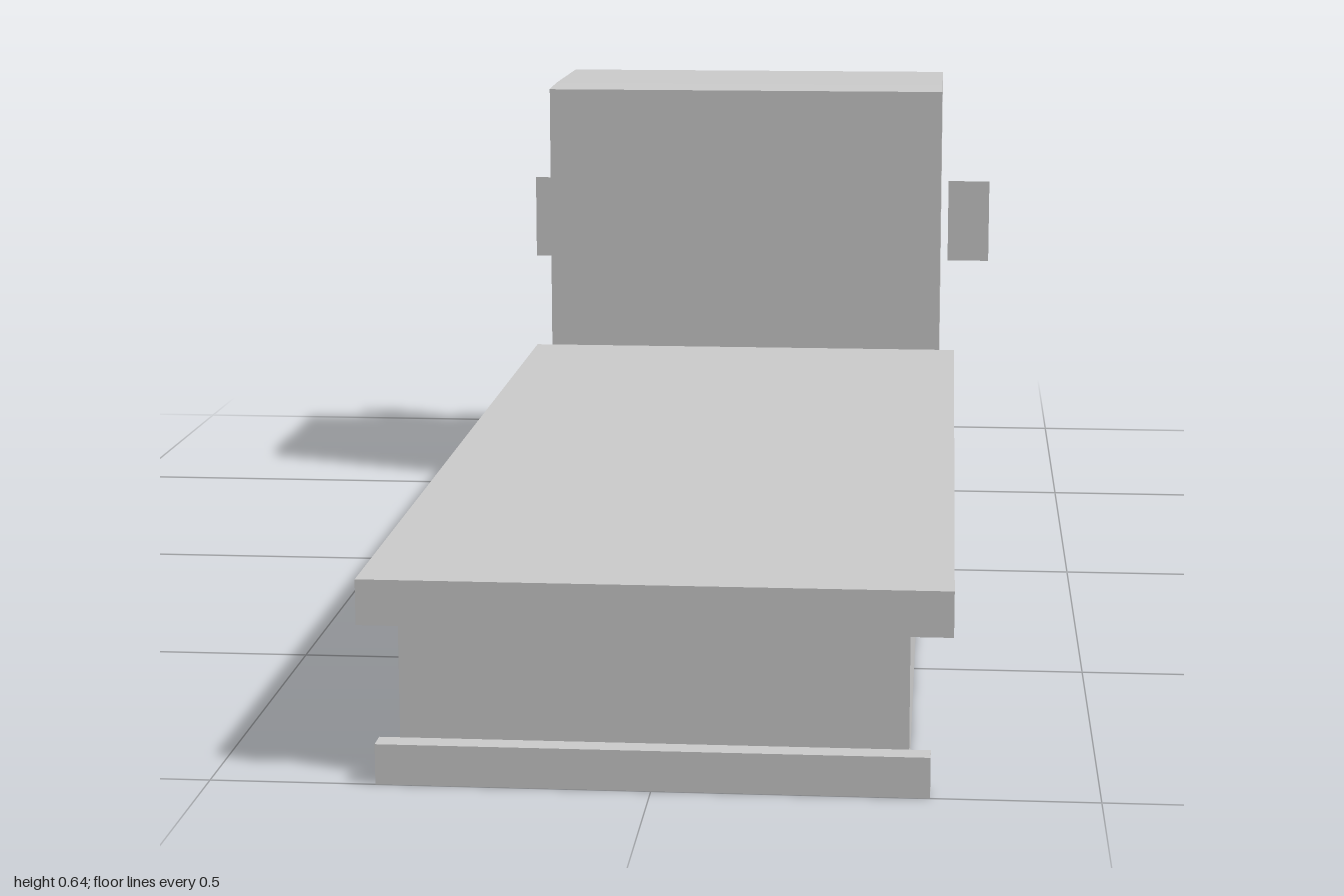
import * as THREE from 'three';

const material = new THREE.MeshStandardMaterial({ color: 0xcccccc, flatShading: true });

function add(parent, name, geometry) {
  const mesh = new THREE.Mesh(geometry, material);
  mesh.name = name;
  parent.add(mesh);
  return mesh;
}

// Box given by its minimum and maximum on each axis
function box(parent, name, [x0, x1], [y0, y1], [z0, z1]) {
  const mesh = add(parent, name, new THREE.BoxGeometry(x1 - x0, y1 - y0, z1 - z0));
  mesh.position.set((x0 + x1) / 2, (y0 + y1) / 2, (z0 + z1) / 2);
  return mesh;
}

// Side profile of [z, y] points, extruded across x from x0 to x1
function sideExtrude(points, x0, x1) {
  const shape = new THREE.Shape(points.map(([z, y]) => new THREE.Vector2(-z, y)));
  const geometry = new THREE.ExtrudeGeometry(shape, { depth: x1 - x0, bevelEnabled: false });
  return geometry.rotateY(Math.PI / 2).translate(x0, 0, 0);
}

export function createModel() {
  const model = new THREE.Group();
  model.name = 'flatbedTruck';

  // Load deck and the narrower chassis below it
  box(model, 'deck', [-0.335, 0.335], [0.18, 0.233], [-0.503, 0.973]);
  box(model, 'chassis', [-0.287, 0.287], [0.003, 0.18], [-0.503, 0.973]);

  // Cab: full-profile core, with wheel arches cut into the outer slices
  const cab = new THREE.Group();
  cab.name = 'cab';
  model.add(cab);
  const upper = [[-0.97, 0.003], [-0.97, 0.295], [-0.933, 0.325], [-0.832, 0.648],
    [-0.58, 0.648], [-0.503, 0.645], [-0.503, 0.003]];
  const arch = [[-0.58, 0.003], [-0.58, 0.075], [-0.625, 0.168], [-0.722, 0.2],
    [-0.822, 0.168], [-0.872, 0.065], [-0.872, 0.003]];
  const inner = 0.22, outer = 0.311;
  add(cab, 'cabCore', sideExtrude(upper, -inner, inner));
  add(cab, 'cabSideLeft', sideExtrude([...upper, ...arch], inner, outer));
  add(cab, 'cabSideRight', sideExtrude([...upper, ...arch], -outer, -inner));

  // Bumpers at both ends
  box(model, 'deckBumper', [-0.311, 0.311], [0.003, 0.05], [0.973, 1]);
  box(model, 'cabBumper', [-0.311, 0.311], [0.003, 0.042], [-1, -0.97]);

  for (const side of [1, -1]) {
    const label = side > 0 ? 'Left' : 'Right';

    // Storage box hung beside the chassis
    const xs = side > 0 ? [0.287, 0.335] : [-0.335, -0.287];
    box(model, 'storageBox' + label, xs, [0.02, 0.125], [-0.477, -0.28]);

    // Mirror, tapered towards the cab nose
    const geometry = new THREE.BoxGeometry(0.07, 0.138, 0.03);
    const p = geometry.attributes.position;
    for (let i = 0; i < p.count; i++) {
      if (p.getZ(i) < 0) p.setXY(i, p.getX(i) * 0.75, p.getY(i) * 0.72);
    }
    geometry.computeVertexNormals();
    add(model, 'mirror' + label, geometry).position.set(side * 0.358, 0.384, -0.93);
  }
  return model;
}
